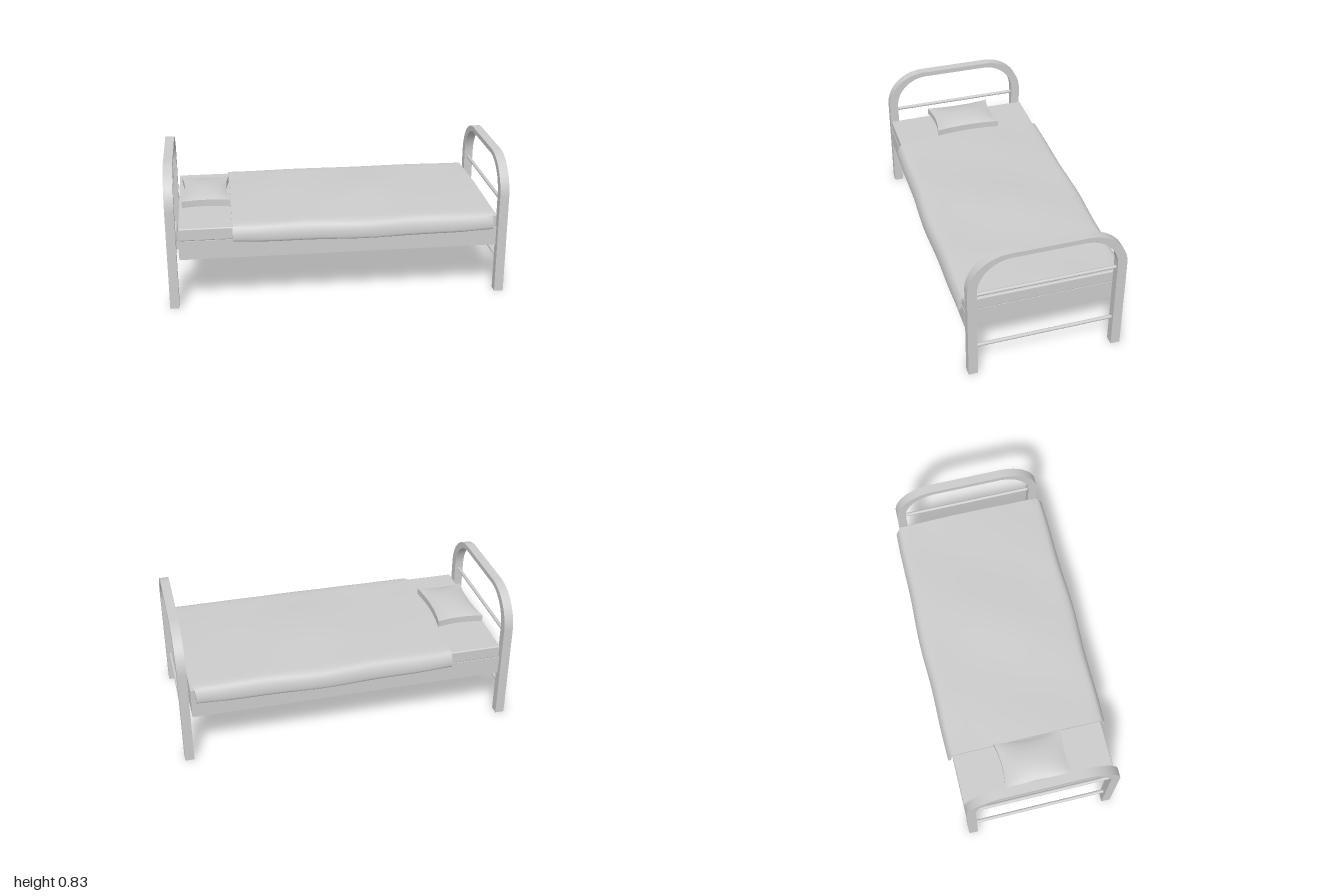
import * as THREE from 'three';
import { toCreasedNormals } from 'three/addons/utils/BufferGeometryUtils.js';
import { RoundedBoxGeometry } from 'three/addons/geometries/RoundedBoxGeometry.js';

const material = new THREE.MeshStandardMaterial({ color: 0xcccccc });

function addMesh(parent, name, geometry, x = 0, y = 0, z = 0) {
  const mesh = new THREE.Mesh(geometry, material);
  mesh.name = name;
  mesh.position.set(x, y, z);
  parent.add(mesh);
  return mesh;
}

// Moves every vertex of a geometry by a rule
function deform(geometry, rule) {
  const pos = geometry.attributes.position;
  const v = new THREE.Vector3();
  for (let i = 0; i < pos.count; i++) {
    rule(v.fromBufferAttribute(pos, i));
    pos.setXYZ(i, v.x, v.y, v.z);
  }
  return geometry;
}

// Arched tube-like end frame: outline in (z, y), extruded along x
function archGeometry() {
  const s = new THREE.Shape();
  s.moveTo(0.455, 0);
  s.lineTo(0.455, 0.6);
  s.absellipse(0.215, 0.6, 0.24, 0.23, 0, Math.PI / 2);
  s.absellipse(-0.215, 0.6, 0.24, 0.23, Math.PI / 2, Math.PI);
  s.lineTo(-0.455, 0);
  s.lineTo(-0.4, 0);
  s.lineTo(-0.4, 0.6);
  s.absellipse(-0.2, 0.6, 0.2, 0.2, Math.PI, Math.PI / 2, true);
  s.absellipse(0.2, 0.6, 0.2, 0.2, Math.PI / 2, 0, true);
  s.lineTo(0.4, 0);
  const g = new THREE.ExtrudeGeometry(s, { depth: 0.054, bevelEnabled: false, curveSegments: 12 });
  g.translate(0, 0, -0.027).rotateY(Math.PI / 2);
  return toCreasedNormals(g, 0.6);
}

// Blanket: draped cross-section in (z, y), extruded along x and rippled
function blanketGeometry() {
  const half = [
    [0, 0.523], [0.1, 0.523], [0.2, 0.522], [0.3, 0.52], [0.4, 0.518], [0.45, 0.512],
    [0.472, 0.49], [0.484, 0.455], [0.484, 0.418], [0.473, 0.412], [0.464, 0.43],
    [0.465, 0.46], [0.458, 0.49], [0.44, 0.502], [0.2, 0.503], [0, 0.503],
  ].map(([z, y]) => new THREE.Vector2(z, y));
  const mirrored = half.slice(1, -1).reverse().map((p) => new THREE.Vector2(-p.x, p.y));
  const outline = new THREE.SplineCurve([...half, ...mirrored, half[0]]).getPoints(90);
  const g = new THREE.ExtrudeGeometry(new THREE.Shape(outline.slice(0, -1)), {
    depth: 1.54, steps: 30, bevelEnabled: false,
  });
  g.rotateY(Math.PI / 2).translate(-0.62, 0, 0);
  deform(g, (v) => {
    const hump = Math.exp(-(((v.x - 0.17) / 0.3) ** 2));
    const side = THREE.MathUtils.smoothstep(Math.abs(v.z), 0.44, 0.48);
    const top = v.y > 0.508 ? 1 - side : 0;
    // soft folds on top, fuller drape mid-length, slight lift at the ends
    v.y += top * (0.012 * hump * Math.exp(-((v.z / 0.3) ** 2)) + 0.002 * Math.sin(9 * v.x + 7 * v.z));
    v.z += Math.sign(v.z) * side * (0.009 * hump + 0.002 * Math.sin(11 * v.x));
    const low = THREE.MathUtils.smoothstep(0.5 - v.y, 0, 0.09);
    v.y += low * (0.008 * THREE.MathUtils.smoothstep(Math.abs(v.x - 0.15), 0.5, 0.77) - 0.004 * hump);
    // hanging sides stop short of the foot edge
    v.x -= 0.014 * side * THREE.MathUtils.smoothstep(v.x, 0.8, 0.92);
  });
  return toCreasedNormals(g, 0.7);
}

// Pillow: thin slab with pinched-in sides and bulging faces
function pillowGeometry() {
  const g = new THREE.BoxGeometry(2, 2, 2, 16, 1, 16);
  deform(g, (v) => {
    const { x: u, z: w } = v;
    const bulge = Math.pow(Math.max(0, (1 - u * u) * (1 - w * w)), 0.8);
    v.set(
      u * (0.143 - 0.018 * (1 - w * w)),
      v.y * (0.02 + 0.027 * bulge),
      w * (0.205 - 0.018 * (1 - u * u)),
    );
  });
  g.computeVertexNormals();
  return g;
}

export function createModel() {
  const bed = new THREE.Group();
  bed.name = 'bed';

  // Head and foot frames with cross rails
  const arch = archGeometry();
  const rail = new THREE.CylinderGeometry(0.0105, 0.0105, 0.82, 16).rotateX(Math.PI / 2);
  for (const [name, x] of [['headFrame', -0.973], ['footFrame', 0.973]]) {
    const frame = new THREE.Group();
    frame.name = name;
    frame.position.x = x;
    addMesh(frame, 'arch', arch);
    addMesh(frame, 'upperRail', rail, 0, 0.567);
    addMesh(frame, 'lowerRail', rail, 0, 0.192);
    bed.add(frame);
  }

  // Base, mattress and bedding
  addMesh(bed, 'base', new THREE.BoxGeometry(1.865, 0.114, 0.91), 0.002, 0.367);
  addMesh(bed, 'mattress', new RoundedBoxGeometry(1.865, 0.076, 0.908, 3, 0.008), 0.002, 0.462);
  addMesh(bed, 'blanket', blanketGeometry());
  addMesh(bed, 'pillow', pillowGeometry(), -0.765, 0.551);

  return bed;
}
